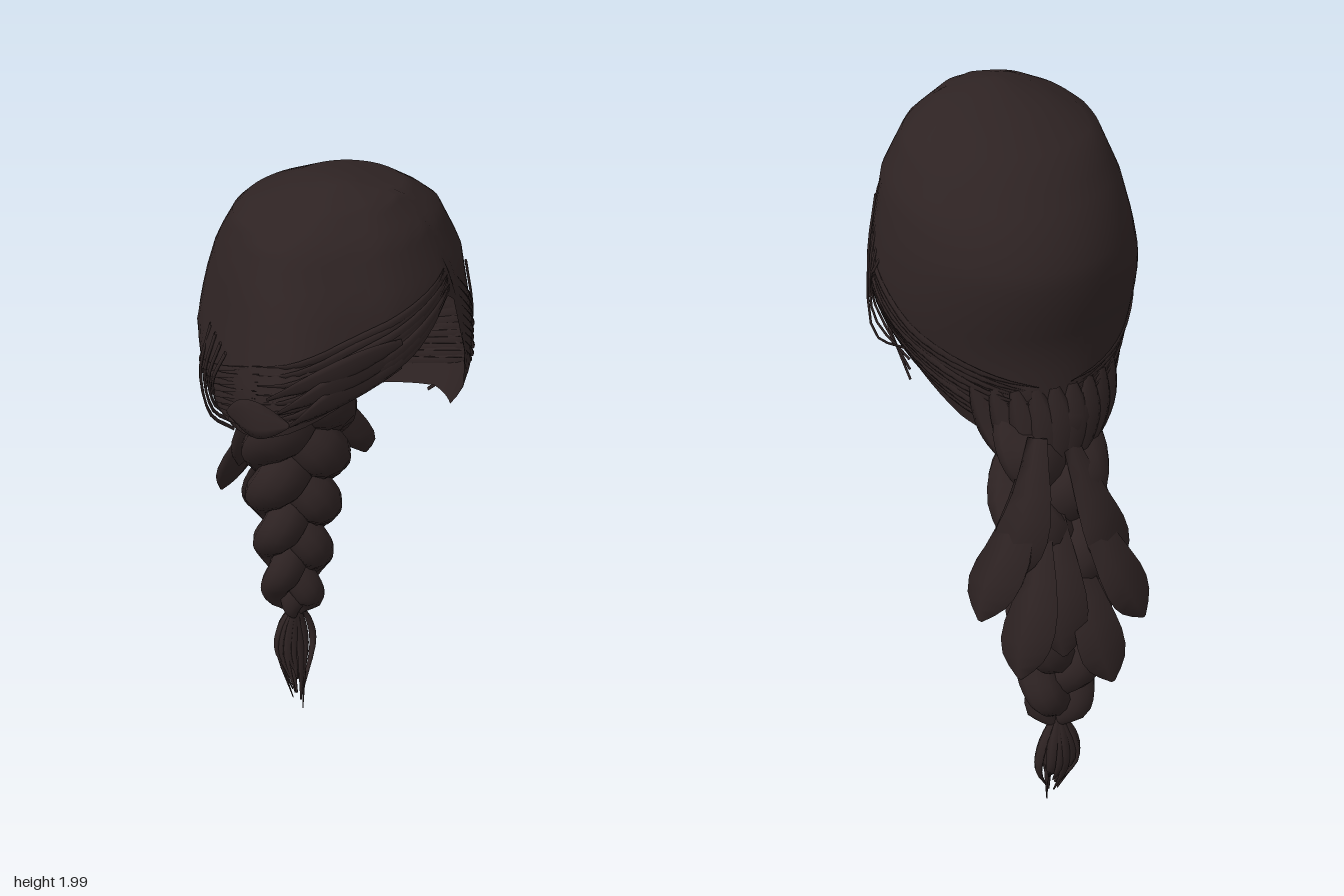
import * as THREE from 'three';
import { mergeVertices, mergeGeometries } from 'three/addons/utils/BufferGeometryUtils.js';

const V = (x, y, z) => new THREE.Vector3(x, y, z);
const lerp = THREE.MathUtils.lerp;

// Piecewise linear lookup in rows of [key, value, value...]
function lookup(rows, k) {
  let i = 0;
  while (i < rows.length - 2 && (rows[i + 1][0] - k) * (rows[1][0] - rows[0][0]) < 0) i++;
  const a = rows[i], b = rows[i + 1];
  const t = THREE.MathUtils.clamp((k - a[0]) / (b[0] - a[0]), 0, 1);
  return a.slice(1).map((v, j) => lerp(v, b[j + 1], t));
}

// Smooth surface over a grid of points
function grid(fn, nu, nv) {
  const pos = [], idx = [];
  for (let i = 0; i <= nu; i++)
    for (let j = 0; j <= nv; j++) pos.push(...fn(i / nu, j / nv).toArray());
  for (let i = 0; i < nu; i++)
    for (let j = 0; j < nv; j++) {
      const a = i * (nv + 1) + j, b = a + nv + 1;
      idx.push(a, b, a + 1, b, b + 1, a + 1);
    }
  let g = new THREE.BufferGeometry();
  g.setAttribute('position', new THREE.Float32BufferAttribute(pos, 3));
  g.setIndex(idx);
  g = mergeVertices(g, 1e-5);
  g.computeVertexNormals();
  return g;
}

// Lock of hair: flattened section swept along a path, width given along it
function lock(points, width, flat, normal, steps = 10, sides = 6) {
  const curve = new THREE.CatmullRomCurve3(points);
  return grid((u, v) => {
    const p = curve.getPoint(u), t = curve.getTangent(u);
    const side = t.clone().cross(normal).normalize();
    const n = side.clone().cross(t).normalize();
    const w = width(u), a = v * Math.PI * 2;
    return p.addScaledVector(side, w * Math.cos(a)).addScaledVector(n, w * flat * Math.sin(a));
  }, steps, sides);
}

// Cap outline by height: [y, right x, left x, back z, front z]
const LEVELS = [
  [2.0, -0.02, -0.02, 0.185, 0.185], [1.975, -0.12, 0.13, 0.02, 0.29],
  [1.91, -0.25, 0.225, -0.12, 0.37], [1.8, -0.295, 0.285, -0.23, 0.44],
  [1.7, -0.32, 0.305, -0.285, 0.475], [1.6, -0.345, 0.32, -0.285, 0.495],
  [1.5, -0.34, 0.32, -0.27, 0.485], [1.4, -0.3, 0.28, -0.28, 0.45],
  [1.3, -0.26, 0.23, -0.3, 0.4], [1.2, -0.24, 0.18, -0.32, 0.35],
];
// Hem height by angle from the front, turning to the model's left
const HEM = [
  [-180, 1.24], [-150, 1.25], [-122, 1.21], [-90, 1.33], [-62, 1.45], [-42, 1.52],
  [-30, 1.56], [0, 1.65], [30, 1.74], [44, 1.77], [54, 1.5], [64, 1.4],
  [90, 1.36], [120, 1.27], [150, 1.25], [180, 1.24],
];

function capPoint(deg, y, out = 0) {
  const [xr, xl, zb, zf] = lookup(LEVELS, y);
  const a = deg * Math.PI / 180, s = Math.sin(a), c = Math.cos(a);
  const n = c > 0 ? Math.max(1.75, 2 - 2.6 * s * c) : 2;
  const k = 1 / Math.pow(Math.abs(s) ** n + Math.abs(c) ** n, 1 / n);
  // The fringe swells towards the right front corner
  const swell = 0.045 * Math.exp(-(((deg + 36) / 16) ** 2)) * THREE.MathUtils.smoothstep(-y, -1.85, -1.58);
  const r = out + swell;
  return V((xl + xr) / 2 + s * (k * (xl - xr) / 2 + r * 0.5), y, (zf + zb) / 2 + c * (k * (zf - zb) / 2 + r));
}

// Fine strands half sunk in the cap between two angles and heights
function capStrands(count, from, to, spread, sag, width) {
  const list = [];
  for (let i = 0; i < count; i++) {
    const k = i / (count - 1), pts = [];
    for (let j = 0; j <= 9; j++) {
      const t = j / 9, deg = lerp(from[0], to[0], t);
      const y = lerp(from[1] + spread[0] * k, to[1] + spread[1] * k, t) - sag * Math.sin(Math.PI * t);
      pts.push(capPoint(deg, Math.max(y, lookup(HEM, deg)[0] + 0.005 + 0.03 * k), 0.001 + 0.002 * (i % 3)));
    }
    const m = pts[4];
    list.push(lock(pts, u => width * Math.sin(Math.PI * (0.03 + 0.94 * u)), 0.25,
      V(m.x, 0, m.z - 0.1).normalize(), 20, 5));
  }
  return mergeGeometries(list);
}

// Braid by height: [y, centre z, half width, half depth]
const BRAID = [
  [1.42, -0.22, 0.09, 0.045], [1.28, -0.255, 0.135, 0.06], [1.1, -0.29, 0.16, 0.085],
  [0.9, -0.345, 0.15, 0.1], [0.7, -0.365, 0.125, 0.09], [0.5, -0.375, 0.105, 0.065],
  [0.42, -0.372, 0.09, 0.05], [0.36, -0.37, 0.02, 0.02],
];

function braidStrand(phase) {
  const path = y => {
    const [z, w, d] = lookup(BRAID, y), a = (1.42 - y) / 0.54 * Math.PI * 2 + phase;
    return V(w * 0.55 * Math.sin(a), y, z + d * 0.5 * Math.sin(2 * a));
  };
  return grid((u, v) => {
    const y = lerp(1.42, 0.36, u), p = path(y);
    const t = path(y - 0.01).sub(path(y + 0.01)).normalize();
    const [, w, d] = lookup(BRAID, y);
    const side = t.clone().cross(V(0, 0, 1)).normalize(), n = side.clone().cross(t);
    const a = v * Math.PI * 2;
    return p.addScaledVector(side, w * 0.5 * Math.cos(a)).addScaledVector(n, d * 0.62 * Math.sin(a));
  }, 60, 10);
}

export function createModel() {
  const group = new THREE.Group();
  const hair = new THREE.MeshStandardMaterial({ color: 0x2e2323, side: THREE.DoubleSide });
  hair.name = 'dark brown hair';
  const add = (name, geometry) => {
    const m = new THREE.Mesh(geometry, hair);
    m.name = name;
    group.add(m);
  };

  // Open cap with a swept fringe edge
  add('cap', grid((u, v) => {
    const deg = -180 + 360 * v, hem = lookup(HEM, deg)[0];
    return capPoint(deg, 2 - (2 - hem) * Math.pow(u, 1.4));
  }, 20, 72));

  // Strands combed from the parting across the front and round both sides
  add('fringeStrands', capStrands(8, [42, 1.77], [-46, 1.54], [0.05, 0.14], 0.0, 0.016));
  add('leftStrands', capStrands(9, [52, 1.6], [172, 1.27], [0.18, 0.14], 0.07, 0.014));
  add('rightStrands', capStrands(9, [-46, 1.54], [-172, 1.27], [0.14, 0.14], 0.06, 0.014));

  // Loose fringe tip at the right front corner
  add('fringeTip', mergeGeometries([0, 1, 2].map(i => lock(
    [V(0.03, 1.665 + i * 0.03, 0.475), V(-0.12, 1.63 + i * 0.03, 0.505), V(-0.25 - i * 0.02, 1.6 + i * 0.025, 0.555 - i * 0.02)],
    u => 0.004 + 0.024 * Math.sin(Math.PI * Math.min(1, 0.05 + u)), 0.2, V(0, 0, 1)))));
  add('fringeCorner', lock([V(-0.25, 1.6, 0.55), V(-0.31, 1.58, 0.47), V(-0.34, 1.53, 0.34)],
    u => 0.006 + 0.04 * Math.sin(Math.PI * u), 0.15, V(-1, 0, 0.4)));

  // Flyaway strands at the temples
  const wisps = [];
  for (let i = 0; i < 4; i++) {
    wisps.push(lock([V(0.29, 1.75 - i * 0.03, 0.17 - i * 0.03), V(0.325, 1.6, 0.14 - i * 0.02),
      V(0.345 - i * 0.012, 1.44 + i * 0.02, 0.03 + i * 0.05), V(0.27, 1.4 - i * 0.03, 0.0)], () => 0.005, 0.6, V(1, 0, 0)));
    wisps.push(lock([V(-0.33, 1.66, 0.3 - i * 0.05), V(-0.352, 1.58 - i * 0.02, 0.26 - i * 0.05),
      V(-0.325, 1.46 - i * 0.03, 0.15 - i * 0.03), V(-0.24, 1.3 - i * 0.02, -0.06)], () => 0.006, 0.6, V(1, 0, 0)));
  }
  add('flyaways', mergeGeometries(wisps));

  // Hair gathered from the nape into the braid
  const nape = [];
  for (let i = 0; i < 9; i++) {
    const s = i / 4 - 1, deg = 180 - s * 38;
    nape.push(lock([capPoint(deg, 1.4), capPoint(deg, 1.29, 0.004), V(s * 0.11, 1.16 + 0.05 * s * s, -0.325 + 0.04 * s * s)],
      u => 0.008 + 0.03 * Math.sin(Math.PI * (0.05 + 0.93 * u)), 0.35, V(s * 0.5, 0, -1).normalize()));
  }
  add('napeLocks', mergeGeometries(nape));

  // Three interwoven braid strands
  for (let i = 0; i < 3; i++) add('braidStrand' + (i + 1), braidStrand(i * Math.PI * 2 / 3));

  // Broad jagged loose ends behind the braid
  const shards = [
    [0.24, 0.86, -0.44], [-0.19, 0.78, -0.48], [0.17, 0.73, -0.54], [-0.08, 0.65, -0.55],
    [0.04, 0.74, -0.51], [-0.15, 0.9, -0.41], [0.15, 0.95, -0.42],
  ].map(([x, y, z]) => lock(
    [V(x * 0.3, y + 0.34, z * 0.4 - 0.15), V(x * 0.6, y + 0.18, z * 0.7 - 0.1), V(x * 0.85, y + 0.07, z * 0.9 - 0.03), V(x, y, z)],
    u => 0.006 + 0.066 * Math.sin(Math.PI * Math.min(1, 0.1 + 0.9 * u ** 1.3)), 0.3, V(x, 0.4, -0.5).normalize(), 8, 5));
  add('looseEnds', mergeGeometries(shards));

  // Tuft below the tie
  const tuft = [];
  for (let i = 0; i < 18; i++) {
    const a = i * 2.4, r = 0.4 + 0.6 * ((i * 7) % 18) / 17;
    const x = Math.cos(a) * r, z = Math.sin(a) * r, end = i === 0 ? 0.01 : 0.04 + 0.12 * ((i * 5) % 18) / 17;
    tuft.push(lock([V(x * 0.012, 0.39, -0.37 + z * 0.012), V(x * 0.06, 0.31, -0.378 + z * 0.032),
      V(x * 0.075, 0.22, -0.375 + z * 0.04), V(x * 0.025, end, -0.328 - end * 0.15 + z * 0.012)],
    u => 0.003 + 0.013 * Math.sin(Math.PI * Math.min(1, 0.1 + u * 0.9)), 0.5, V(x, 0, z).normalize(), 10, 5));
  }
  add('tuft', mergeGeometries(tuft));
  return group;
}
